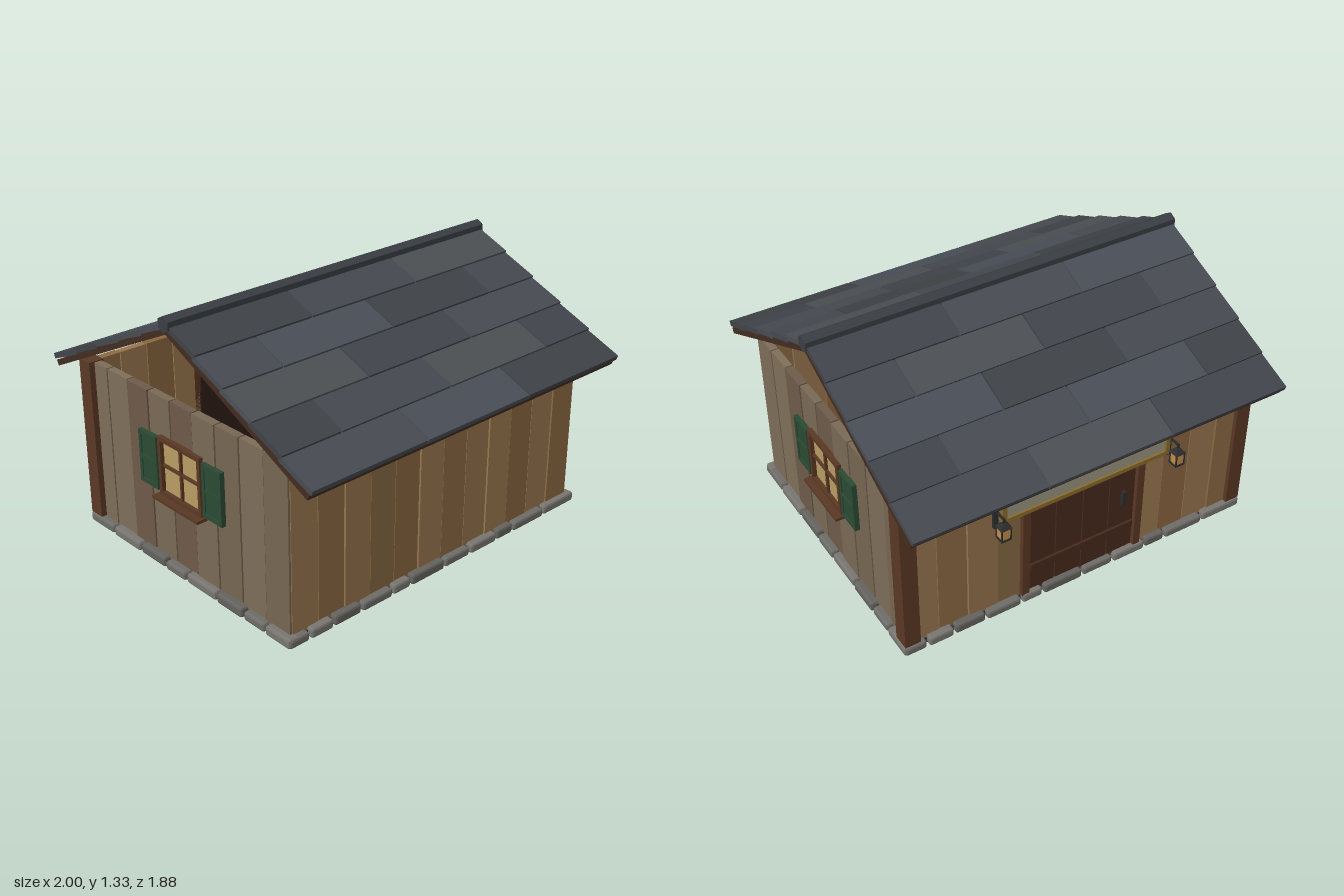
import * as THREE from 'three';
import { RoundedBoxGeometry } from 'three/addons/geometries/RoundedBoxGeometry.js';

const materials = {};
function mat(color) {
  return (materials[color] ??= new THREE.MeshStandardMaterial({ color, flatShading: true }));
}

function add(parent, name, geometry, color, x = 0, y = 0, z = 0) {
  const mesh = new THREE.Mesh(geometry, mat(color));
  mesh.name = name;
  mesh.position.set(x, y, z);
  parent.add(mesh);
  return mesh;
}

// Box given by its min and max corners
function box(parent, name, color, [x0, x1], [y0, y1], [z0, z1]) {
  return add(parent, name, new THREE.BoxGeometry(x1 - x0, y1 - y0, z1 - z0), color,
    (x0 + x1) / 2, (y0 + y1) / 2, (z0 + z1) / 2);
}

function group(parent, name) {
  const g = new THREE.Group();
  g.name = name;
  parent.add(g);
  return g;
}

const WARM = [0x98764f, 0x8c6a42, 0x95734d, 0x856842, 0x9a7850, 0x8a6640];
const GREY = [0x7d6d58, 0x796a55, 0x7f6f59, 0x766651, 0x6e5b49];
const SLATE = [0x484c52, 0x41444b, 0x4c5054, 0x45494f, 0x3f4347, 0x4a4e57];
const STONE = [0x6e6c68, 0x64625e, 0x787570];
const TRIM = 0x5a3824, DOOR = 0x46291c, GOLD = 0x8a6c2c, IRON = 0x2c2c2c, GREEN = 0x2a4a33;

// Row of vertical planks facing +z, centred on x = 0
function plankWall(parent, name, count, width, face, gap, colors, bottomAt = () => 0.03) {
  const wall = group(parent, name);
  const w = width / count;
  for (let i = 0; i < count; i++) {
    const x = -width / 2 + w * i;
    const out = face + [0, 0.003, -0.002][(i * 5) % 3];
    box(wall, 'plank', colors[(i * 7 + (i >> 2)) % colors.length],
      [x + gap / 2, x + w - gap / 2], [bottomAt(x + w / 2), 0.88], [face - 0.04, out]);
  }
  return wall;
}

// Window with muntins, sill and two shutters, built facing +z
function buildWindow(parent) {
  const win = group(parent, 'window');
  box(win, 'glass', 0xb89c64, [-0.14, 0.14], [0.4, 0.68], [0.92, 0.939]);
  for (const s of [-1, 1]) {
    box(win, 'frameSide', TRIM, [s * 0.145 - 0.01, s * 0.145 + 0.01], [0.39, 0.69], [0.92, 0.96]);
    const y = 0.54 + s * 0.14;
    box(win, 'frameRail', TRIM, [-0.135, 0.135], [y - 0.01, y + 0.01], [0.92, 0.96]);
    const c = s * 0.235;
    const shutter = group(win, 'shutter');
    box(shutter, 'shutterBoard', GREEN, [c - 0.067, c + 0.067], [0.405, 0.675], [0.93, 0.955]);
    for (const ry of [0.417, 0.54, 0.663])
      box(shutter, 'shutterRail', GREEN, [c - 0.067, c + 0.067], [ry - 0.01, ry + 0.01], [0.95, 0.961]);
    for (const sx of [-0.058, 0.058])
      box(shutter, 'shutterStile', GREEN, [c + sx - 0.009, c + sx + 0.009], [0.405, 0.675], [0.95, 0.96]);
  }
  box(win, 'muntinUpright', TRIM, [-0.006, 0.006], [0.4, 0.68], [0.93, 0.952]);
  box(win, 'muntinCross', TRIM, [-0.14, 0.14], [0.539, 0.551], [0.93, 0.952]);
  box(win, 'sill', TRIM, [-0.17, 0.17], [0.377, 0.392], [0.93, 0.995]);
}

// One roof slope falling towards +z
function buildSlope(parent, seed) {
  const slope = group(parent, 'roofSlope');
  const a = Math.atan2(0.435, 0.905);
  add(slope, 'roofDeck', new THREE.BoxGeometry(1.98, 0.03, 1.004), 0x422c20, 0,
    1.0225 + 0.015 * Math.cos(a), 0.4525 + 0.015 * Math.sin(a)).rotation.x = a;
  const b = 0.39, L = 0.215, t = 0.027;
  for (let i = 0; i < 5; i++) {
    const edges = i % 2 ? [-0.995, -0.662, 0, 0.662, 0.995] : [-0.995, -0.331, 0.331, 0.995];
    const y = 0.86 + 0.0875 * i + Math.sin(b) * L / 2 - Math.cos(b) * t / 2;
    const z = 0.94 - 0.183 * i - Math.cos(b) * L / 2 - Math.sin(b) * t / 2;
    for (let k = 0; k + 1 < edges.length; k++) {
      const w = edges[k + 1] - edges[k] - 0.007;
      add(slope, 'shingle', new THREE.BoxGeometry(w, t, L), SLATE[(i * 4 + k * 5 + seed) % SLATE.length],
        (edges[k] + edges[k + 1]) / 2, y, z).rotation.x = b;
    }
  }
  return slope;
}

// Irregular run of foundation stones along x, facing +z
function stoneRow(parent, edges, face) {
  const row = group(parent, 'foundationRow');
  for (let i = 0; i + 1 < edges.length; i++) {
    const w = edges[i + 1] - edges[i] - 0.012;
    const h = 0.046 + 0.003 * (i % 3), d = 0.06 + 0.005 * (i % 2);
    add(row, 'foundationStone', new RoundedBoxGeometry(w, h, d, 1, 0.012), STONE[(i * 2) % 3],
      (edges[i] + edges[i + 1]) / 2, h / 2, face - 0.032);
  }
  return row;
}

// Wall lantern on a bracket, built facing +z
function buildLantern(parent, x) {
  const lamp = group(parent, 'lantern');
  lamp.position.x = x;
  box(lamp, 'bracketPlate', IRON, [-0.012, 0.012], [0.54, 0.66], [0.725, 0.748]);
  box(lamp, 'bracketArm', IRON, [-0.005, 0.005], [0.638, 0.648], [0.74, 0.815]);
  box(lamp, 'lanternHook', IRON, [-0.004, 0.004], [0.61, 0.645], [0.806, 0.814]);
  const cap = add(lamp, 'lanternCap', new THREE.CylinderGeometry(0.014, 0.042, 0.024, 4), IRON, 0, 0.611, 0.81);
  cap.rotation.y = Math.PI / 4;
  box(lamp, 'lanternGlass', 0xc08c48, [-0.022, 0.022], [0.54, 0.6], [0.788, 0.832]);
  box(lamp, 'lanternBase', IRON, [-0.027, 0.027], [0.532, 0.541], [0.783, 0.837]);
  for (const sx of [-1, 1]) for (const sz of [-1, 1])
    box(lamp, 'lanternBar', IRON, [sx * 0.023 - 0.003, sx * 0.023 + 0.003], [0.535, 0.602],
      [0.81 + sz * 0.023 - 0.003, 0.81 + sz * 0.023 + 0.003]);
}

// Entrance side: door, sign, lanterns and corner posts, built facing +z
function buildEntrance(parent) {
  const e = group(parent, 'entrance');
  plankWall(e, 'entranceWall', 12, 1.86, 0.73, 0.005, WARM, x => (Math.abs(x) < 0.31 ? 0.7 : 0.03));
  for (let i = 0; i < 4; i++)
    box(e, 'doorPlank', DOOR, [-0.3 + i * 0.15 + 0.003, -0.15 + i * 0.15 - 0.003], [0.04, 0.7], [0.7, 0.737]);
  box(e, 'doorBacking', 0x2e1c14, [-0.31, 0.31], [0.04, 0.7], [0.69, 0.705]);
  for (const y of [0.19, 0.57])
    box(e, 'doorRail', DOOR, [-0.29, 0.29], [y - 0.022, y + 0.022], [0.73, 0.75]);
  box(e, 'doorHandle', IRON, [0.22, 0.24], [0.34, 0.42], [0.735, 0.755]);
  box(e, 'doorLintel', TRIM, [-0.34, 0.34], [0.69, 0.73], [0.69, 0.755]);
  box(e, 'signBoard', 0x9a957e, [-0.45, 0.45], [0.59, 0.79], [0.735, 0.765]);
  for (const y of [0.585, 0.8])
    box(e, 'signRail', GOLD, [-0.46, 0.46], [y - 0.011, y + 0.011], [0.735, 0.775]);
  for (const s of [-1, 1]) {
    box(e, 'signEnd', GOLD, [s * 0.45 - 0.011, s * 0.45 + 0.011], [0.58, 0.8], [0.735, 0.775]);
    box(e, 'doorJamb', TRIM, [s * 0.32 - 0.02, s * 0.32 + 0.02], [0.04, 0.7], [0.69, 0.755]);
    box(e, 'cornerPost', TRIM, [s * 0.925 - 0.04, s * 0.925 + 0.04], [0.05, 0.885], [0.67, 0.755]);
    buildLantern(e, s * 0.48);
  }
  return e;
}

export function createModel() {
  const model = new THREE.Group();
  model.name = 'cabin';

  box(model, 'floor', 0x3a3835, [-0.94, 0.94], [0.004, 0.035], [-0.735, 0.735]);

  // Walls
  plankWall(model, 'frontWall', 12, 1.86, 0.73, 0.005, WARM);
  buildEntrance(model).rotation.y = Math.PI;
  for (const s of [-1, 1]) {
    const side = group(model, s > 0 ? 'leftSide' : 'rightSide');
    side.rotation.y = s * Math.PI / 2;
    plankWall(side, 'sideWall', 9, 1.46, 0.935, 0.008, GREY);
    buildWindow(side);
    stoneRow(side, [-0.765, -0.56, -0.335, -0.135, 0.025, 0.25, 0.44, 0.59, 0.765], 0.972);
  }

  // Foundation along front and entrance
  const runs = [-0.972, -0.85, -0.71, -0.54, -0.345, -0.225, 0, 0.178, 0.37, 0.493, 0.728, 0.972];
  stoneRow(model, runs, 0.765);
  stoneRow(model, runs, 0.765).rotation.y = Math.PI;

  // Roof
  buildSlope(model, 0);
  buildSlope(model, 3).rotation.y = Math.PI;
  const ridge = add(model, 'ridgeCap', new THREE.CylinderGeometry(0.04, 0.04, 2, 6), 0x3a3e43, 0, 1.288, 0);
  ridge.rotation.set(0, 0, Math.PI / 2);
  ridge.geometry.rotateY(Math.PI / 6);
  return model;
}
